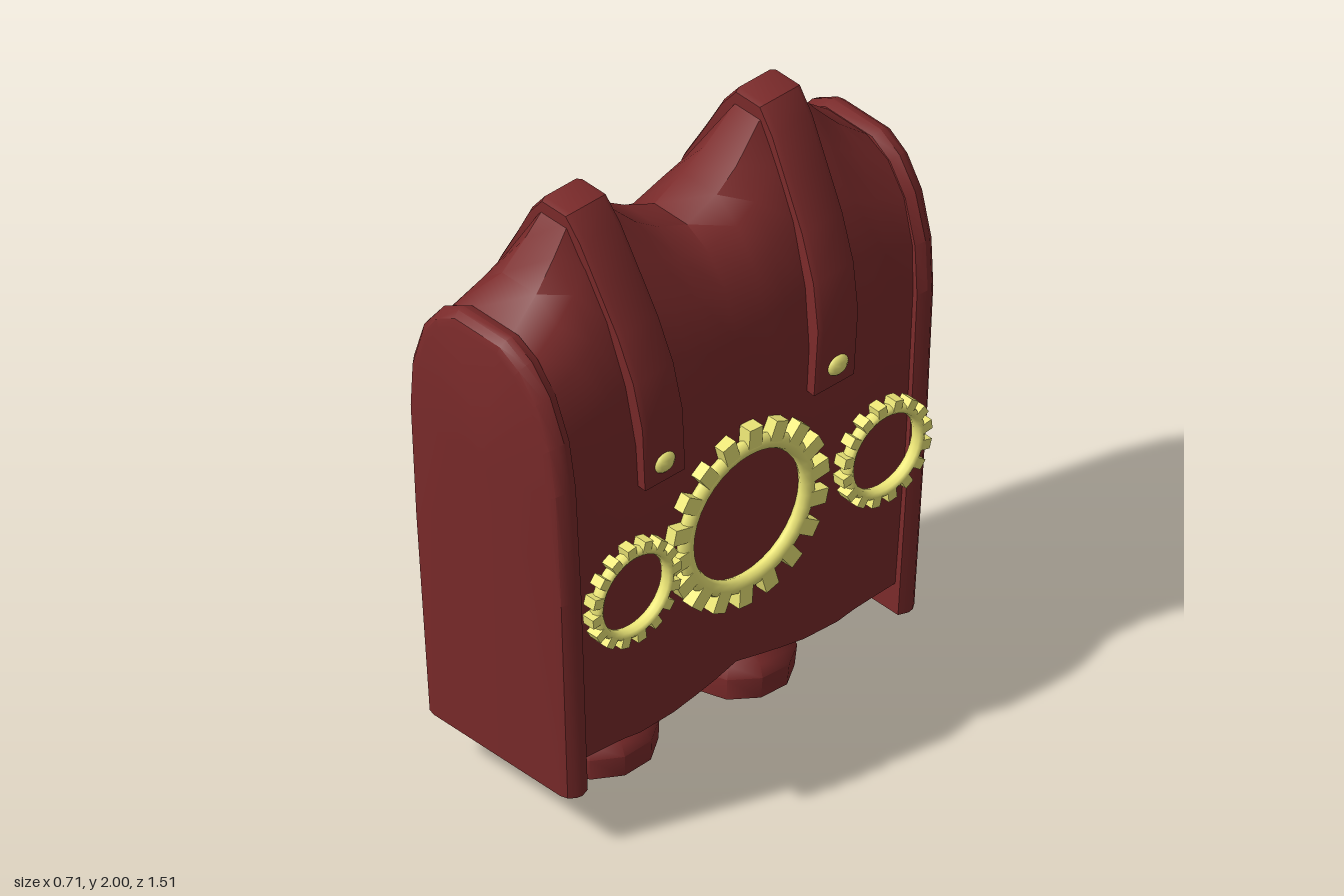
import * as THREE from 'three';
import { toCreasedNormals } from 'three/addons/utils/BufferGeometryUtils.js';

const red = new THREE.MeshStandardMaterial({ color: 0x7a2a2a });
const gold = new THREE.MeshStandardMaterial({ color: 0xeee878 });

function addMesh(parent, name, geometry, material) {
  const mesh = new THREE.Mesh(geometry, material);
  mesh.name = name;
  parent.add(mesh);
  return mesh;
}

// Skin a list of equal-length closed rings of [x, y, z] and cap both ends.
function loft(rings, crease = 0.6) {
  const n = rings[0].length;
  const pos = rings.flat(2);
  const idx = [];
  for (let i = 0; i < rings.length - 1; i++) {
    for (let j = 0; j < n; j++) {
      const a = i * n + j, b = i * n + (j + 1) % n;
      idx.push(a, b, b + n, a, b + n, a + n);
    }
  }
  [0, rings.length - 1].forEach((r, end) => {
    const c = pos.length / 3;
    for (let k = 0; k < 3; k++) pos.push(rings[r].reduce((t, p) => t + p[k], 0) / n);
    for (let j = 0; j < n; j++) {
      const a = r * n + j, b = r * n + (j + 1) % n;
      idx.push(c, end ? a : b, end ? b : a);
    }
  });
  const g = new THREE.BufferGeometry();
  g.setAttribute('position', new THREE.Float32BufferAttribute(pos, 3));
  g.setIndex(idx);
  return toCreasedNormals(g, crease);
}

// Close a half outline (bottom to top) by mirroring it.
const mirrorOutline = (half) => [...half, ...half.map(([x, y]) => [-x, y]).reverse()];

// Body: arch section that rises to a point under each strap
const lowArch = [[0.28, 0.29], [0.295, 0.8], [0.295, 1.3], [0.283, 1.45], [0.24, 1.59], [0.17, 1.68], [0.08, 1.72]];
const peakArch = [[0.28, 0.27], [0.295, 0.8], [0.295, 1.3], [0.265, 1.5], [0.2, 1.7], [0.12, 1.85], [0.05, 1.97]];
function bodyGeometry() {
  // [z, rise toward the peak, bottom height]
  const half = [[0, 0.1, 0.32], [0.11, 0.3, 0.305], [0.19, 0.52, 0.29], [0.285, 0.92, 0.275],
    [0.43, 1, 0.27], [0.5, 0.66, 0.28], [0.58, 0.32, 0.285], [0.68, 0, 0.29]];
  const stations = [...half.slice(1).reverse().map(([z, t, b]) => [-z, t, b]), ...half];
  return loft(stations.map(([z, t, b]) => {
    const outline = lowArch.map(([x, y], i) => [
      x + (peakArch[i][0] - x) * t - (z === 0 ? 0.01 : 0),
      i === 0 ? b : y + (peakArch[i][1] - y) * t]);
    return mirrorOutline(outline).map(([x, y]) => [x - 0.025, y, z * (1 - 0.08 * (1.73 - y))]);
  }), 0.7);
}

// End panel: leaning arched slab with a rounded outer rim
const panelArch = [[0.303, 0.19], [0.318, 0.9], [0.318, 1.3], [0.3, 1.46], [0.25, 1.6], [0.18, 1.69], [0.1, 1.735]];
function panelGeometry(s) {
  // [inset, depth]
  const rings = [[0.012, 0], [0, 0.03], [0.004, 0.05], [0.02, 0.07], [0.045, 0.077]].map(([inset, dz]) =>
    mirrorOutline(panelArch).map(([x, y]) => {
      const up = (y - 0.19) / 1.54;
      return [x * (1 - inset / 0.318) - 0.02, y - inset * up, s * (0.597 + 0.083 * up + dz)];
    }));
  return loft(s > 0 ? rings : rings.reverse());
}

// Strap: flat band bent over each peak
const strapPath = [[0.305, 1.16], [0.308, 1.38], [0.28, 1.53], [0.225, 1.67], [0.15, 1.81], [0.085, 1.93], [0.03, 2],
  [-0.08, 2], [-0.135, 1.93], [-0.2, 1.81], [-0.28, 1.67], [-0.325, 1.52], [-0.36, 1.33]];
function strapGeometry(s) {
  const rings = strapPath.map(([x, y]) => {
    const z = 0.325 + 0.058 * (y - 1.16);
    const ix = -0.025 + (x + 0.025) * 0.82;
    const iy = y - 0.07 * Math.max(0, (y - 1.4) / 0.6);
    const ox = x + (x > 0 ? -0.006 : 0.006);
    return [[ix, iy, z + 0.077], [ox, y - 0.006, z + 0.077], [x, y, z + 0.06],
      [x, y, z - 0.06], [ox, y - 0.006, z - 0.077], [ix, iy, z - 0.077]].map(([a, b, c]) => [a, b, s * c]);
  });
  return loft(s > 0 ? rings : rings.reverse());
}

// Gear facing +x: rounded ring with block teeth
function gear(name, ringRadius, halfWidth, outer, count, depth) {
  const g = new THREE.Group();
  g.name = name;
  const ring = addMesh(g, name + 'Ring', new THREE.TorusGeometry(ringRadius, halfWidth, 8, 36), gold);
  ring.scale.z = depth / 2 / halfWidth;
  const length = outer - ringRadius;
  const toothGeometry = new THREE.BoxGeometry(length, outer * Math.PI / count * 0.95, depth * 0.95);
  for (let i = 0; i < count; i++) {
    const a = (i + 0.3) / count * Math.PI * 2;
    const tooth = addMesh(g, name + 'Tooth', toothGeometry, gold);
    const r = ringRadius + length / 2;
    tooth.position.set(Math.cos(a) * r, Math.sin(a) * r, 0);
    tooth.rotation.z = a;
  }
  g.rotation.y = Math.PI / 2;
  return g;
}

export function createModel() {
  const model = new THREE.Group();
  model.name = 'pack';
  addMesh(model, 'body', bodyGeometry(), red);

  const footProfile = [[0, 0], [0.162, 0], [0.167, 0.07], [0.148, 0.105], [0.095, 0.155], [0.135, 0.195],
    [0.14, 0.23], [0.115, 0.27], [0.1, 0.34]].map(([x, y]) => new THREE.Vector2(x, y));
  const footGeometry = toCreasedNormals(new THREE.LatheGeometry(footProfile, 10), 0.7);

  for (const s of [1, -1]) {
    addMesh(model, 'endPanel', panelGeometry(s), red);
    addMesh(model, 'strap', strapGeometry(s), red);

    // Round knob foot, tipped slightly outward
    const foot = addMesh(model, 'foot', footGeometry, red);
    foot.position.set(-0.025, 0.012, s * 0.262);
    foot.rotation.x = s * 0.045;
    foot.scale.x = 0.94;

    // Rivet on the strap end
    const rivet = addMesh(model, 'rivet', new THREE.SphereGeometry(0.04, 10, 8), gold);
    rivet.position.set(0.303, 1.225, s * 0.333);
    rivet.scale.set(0.5, 0.85, 1);

    const small = gear('smallGear', 0.137, 0.015, 0.171, 16, 0.045);
    small.position.set(0.332, 0.86, s * 0.482);
    model.add(small);
  }

  const large = gear('largeGear', 0.234, 0.026, 0.302, 18, 0.045);
  large.position.set(0.285, 0.86, 0);
  model.add(large);
  return model;
}
